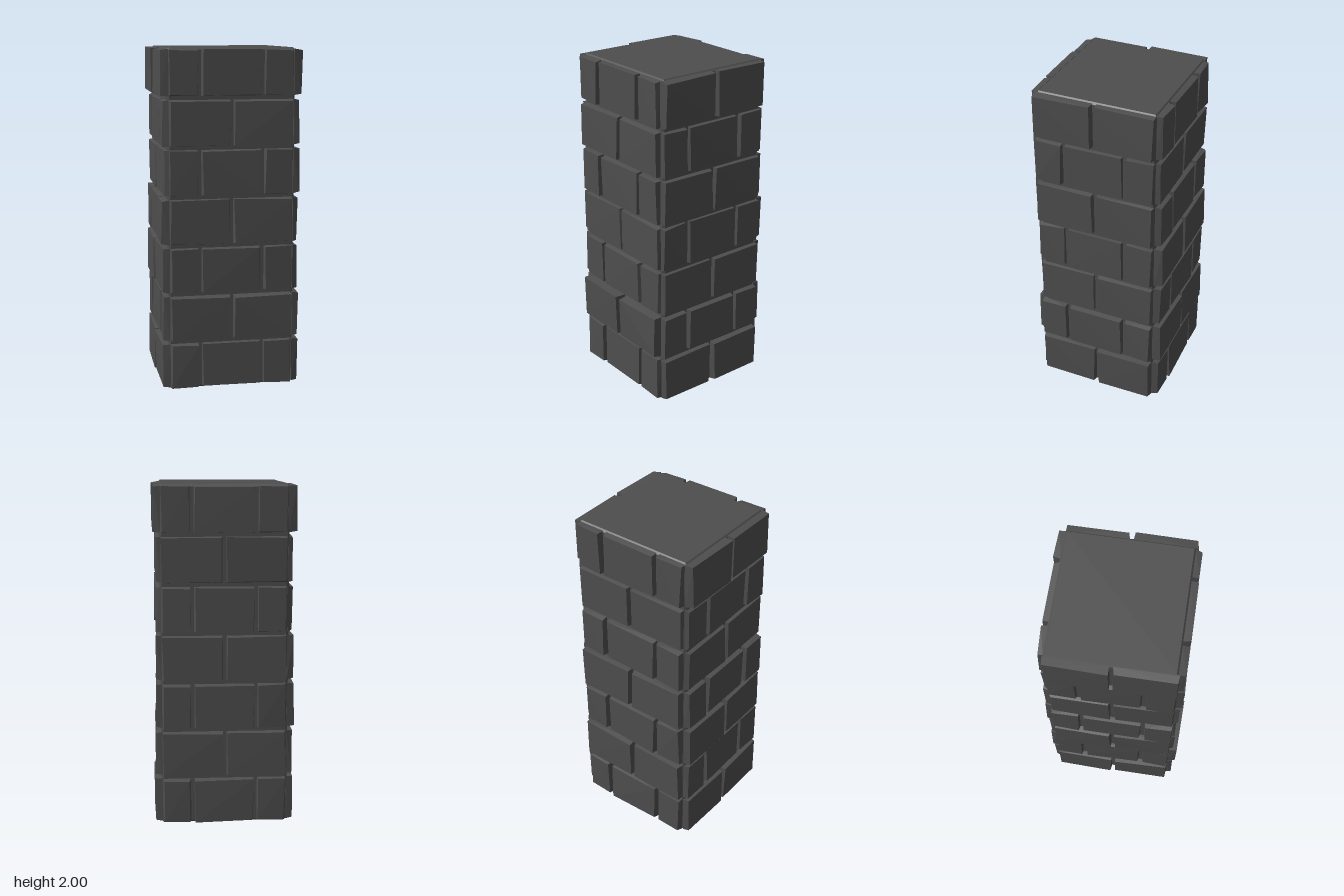
import * as THREE from 'three';
import { ConvexGeometry } from 'three/addons/geometries/ConvexGeometry.js';

const stone = new THREE.MeshStandardMaterial({ color: 0x4e4e4e });
stone.name = 'darkStone';

// Small seeded generator for the uneven hand-cut faces
let seed = 11;
const rnd = () => {
  seed = (seed * 16807) % 2147483647;
  return seed / 2147483647;
};

// Box with all edges chamfered by c
function chamferedBox(hx, hy, hz, c) {
  const pts = [];
  for (const x of [-1, 1]) for (const y of [-1, 1]) for (const z of [-1, 1]) {
    pts.push(new THREE.Vector3(x * hx, y * (hy - c), z * (hz - c)));
    pts.push(new THREE.Vector3(x * (hx - c), y * hy, z * (hz - c)));
    pts.push(new THREE.Vector3(x * (hx - c), y * (hy - c), z * hz));
  }
  return new ConvexGeometry(pts);
}

// Brick facing +z: flat back at z0, outer corners shifted unevenly up to reach
function brickGeometry(u0, u1, v0, v1, z0, reach) {
  const drop = rnd() * 0.008;
  const pts = [];
  for (const [u, su] of [[u0, 1], [u1, -1]]) for (const [v, sv] of [[v0, 1], [v1, -1]]) {
    pts.push(new THREE.Vector3(u, v, z0));
    pts.push(new THREE.Vector3(
      u + su * rnd() * 0.012,
      v + sv * rnd() * 0.01,
      reach - drop - rnd() * 0.012));
  }
  return new ConvexGeometry(pts);
}

// Courses: three bricks or two, as [start, end] along the wall
const threeBricks = [[-0.365, -0.198], [-0.178, 0.172], [0.192, 0.36]];
const twoBricks = [[-0.365, -0.01], [0.01, 0.36]];

// Each wall: turn about y, core distance, and how far each course stands out
const walls = [
  { name: 'frontWall', turn: 0, base: 0.35, first: threeBricks, second: twoBricks,
    reach: [0.395, 0.42, 0.392, 0.39, 0.4, 0.402, 0.4] },
  { name: 'leftWall', turn: Math.PI / 2, base: 0.365, first: twoBricks, second: threeBricks,
    reach: [0.42, 0.415, 0.405, 0.403, 0.411, 0.408, 0.42] },
  { name: 'backWall', turn: Math.PI, base: 0.36, first: threeBricks, second: twoBricks,
    reach: [0.412, 0.421, 0.415, 0.421, 0.412, 0.402, 0.405] },
  { name: 'rightWall', turn: -Math.PI / 2, base: 0.365, first: twoBricks, second: threeBricks,
    reach: [0.421, 0.408, 0.417, 0.418, 0.409, 0.408, 0.425] },
];

export function createModel() {
  const model = new THREE.Group();
  model.name = 'brickPillar';

  // Solid core behind the bricks
  const core = new THREE.Mesh(chamferedBox(0.373, 1, 0.359, 0.012), stone);
  core.name = 'core';
  core.position.set(0, 1, -0.006);
  model.add(core);

  // Four walls of seven staggered courses
  const pitch = 0.2865;
  for (const { name, turn, base, first, second, reach } of walls) {
    const wall = new THREE.Group();
    wall.name = name;
    wall.rotation.y = turn;
    reach.forEach((r, row) => {
      const y = 0.009 + row * pitch;
      for (const [u0, u1] of row % 2 ? second : first) {
        const brick = new THREE.Mesh(brickGeometry(u0, u1, y, y + 0.265, base, r), stone);
        brick.name = 'brick';
        wall.add(brick);
      }
    });
    model.add(wall);
  }
  return model;
}
